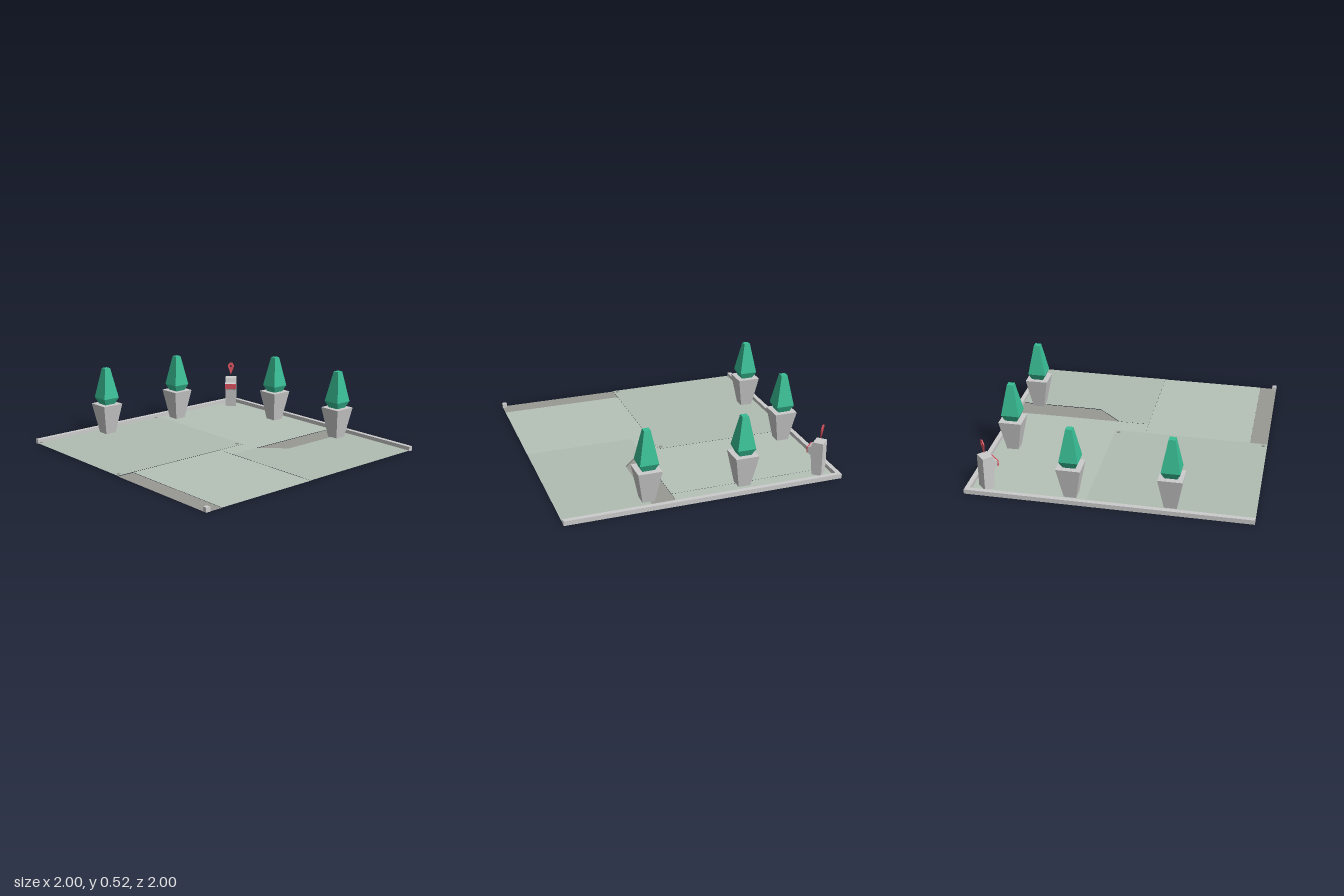
import * as THREE from 'three';

const mat = (color, double = false) => new THREE.MeshStandardMaterial({
  color, flatShading: true, side: double ? THREE.DoubleSide : THREE.FrontSide,
});
const grey = mat(0xcccccc);
const leaf = mat(0x38bd94);
const red = mat(0xd8505c);
const lawn = mat(0xb0bcb1, true);
const plaza = mat(0xb6c1b8, true);
const road = mat(0x999a94, true);

function add(parent, name, geometry, material, x = 0, y = 0, z = 0) {
  const mesh = new THREE.Mesh(geometry, material);
  mesh.name = name;
  mesh.position.set(x, y, z);
  parent.add(mesh);
  return mesh;
}

// Flat ground panel from [x, z] corners
function panel(parent, name, corners, y, material) {
  const shape = new THREE.Shape(corners.map(([x, z]) => new THREE.Vector2(x, -z)));
  add(parent, name, new THREE.ShapeGeometry(shape).rotateX(-Math.PI / 2), material, 0, y);
}
const rect = (x0, x1, z0, z1) => [[x0, z0], [x0, z1], [x1, z1], [x1, z0]];

// Square frustum standing on y = 0, given half widths
function frustum(bottom, top, height) {
  return new THREE.CylinderGeometry(top * Math.SQRT2, bottom * Math.SQRT2, height, 4)
    .rotateY(Math.PI / 4).translate(0, height / 2, 0);
}

function plantedTree(x, z) {
  const tree = new THREE.Group();
  tree.name = 'plantedTree';
  add(tree, 'planter', frustum(0.043, 0.085, 0.237), grey);
  add(tree, 'lowerFoliage', frustum(0.044, 0.067, 0.05), leaf, 0, 0.237);
  add(tree, 'upperFoliage', frustum(0.067, 0.023, 0.233), leaf, 0, 0.287);
  tree.position.set(x, 0, z);
  return tree;
}

// Information stand: side profile extruded across its width, with a map pin on top
function infoStand() {
  const stand = new THREE.Group();
  stand.name = 'infoStand';
  const profile = [[-0.055, 0], [0.015, 0], [0.03, 0.15], [0.054, 0.165],
    [0.054, 0.205], [0.03, 0.215], [0.02, 0.25], [-0.055, 0.25]];
  const side = new THREE.Shape(profile.map(([d, y]) => new THREE.Vector2(d, y)));
  const body = new THREE.ExtrudeGeometry(side, { depth: 0.09, bevelEnabled: false })
    .translate(0, 0, -0.045).rotateY(-Math.PI / 2);
  add(stand, 'standBody', body, grey);
  add(stand, 'displayPanel', new THREE.BoxGeometry(0.094, 0.042, 0.008), red, 0, 0.185, 0.058);

  const outline = [[0, 0], [0.024, 0.065], [0.024, 0.083], [0.012, 0.103],
    [-0.012, 0.103], [-0.024, 0.083], [-0.024, 0.065]];
  const pinShape = new THREE.Shape(outline.map(([x, y]) => new THREE.Vector2(x, y)));
  const hole = new THREE.Path();
  hole.absarc(0, 0.073, 0.008, 0, Math.PI * 2, true);
  pinShape.holes.push(hole);
  const pin = new THREE.ExtrudeGeometry(pinShape, { depth: 0.008, bevelEnabled: false, curveSegments: 4 });
  const marker = add(stand, 'mapPin', pin, red, 0, 0.272, -0.024);
  marker.rotation.x = -0.12;
  stand.position.set(-0.868, 0, -0.86);
  stand.rotation.y = Math.PI / 4;
  return stand;
}

export function createModel() {
  const model = new THREE.Group();
  model.name = 'gardenPlaza';

  // Ground panels, set at slightly different levels
  panel(model, 'backStrip', rect(-0.97, 0.205, -0.97, -0.83), 0.003, plaza);
  panel(model, 'backPlaza', rect(-0.97, 0.205, -0.83, -0.155), 0.004, plaza);
  panel(model, 'leftLawn', rect(-0.97, 0.065, -0.155, 1), 0.005, lawn);
  panel(model, 'cornerLanding', rect(0.065, 0.205, -0.155, 0.075), 0.004, plaza);
  panel(model, 'frontPlaza', rect(0.065, 1, 0.075, 0.87), 0.003, plaza);
  panel(model, 'frontRoad', rect(0.065, 1, 0.87, 1), 0.001, road);
  panel(model, 'backRoad', [[0.205, -0.97], [0.205, -0.155], [0.375, -0.34], [0.375, -0.97]], 0.001, road);
  panel(model, 'rightLawn', [[0.375, -0.97], [0.375, -0.34], [0.205, -0.155],
    [0.205, 0.075], [1, 0.075], [1, -0.97]], 0.005, lawn);

  // Low edge walls and the corner post
  add(model, 'leftWall', new THREE.BoxGeometry(0.033, 0.033, 2), grey, -0.9835, 0.0165, 0);
  add(model, 'backWall', new THREE.BoxGeometry(1.967, 0.033, 0.033), grey, 0.0165, 0.0165, -0.9835);
  add(model, 'cornerPost', new THREE.BoxGeometry(0.033, 0.033, 0.033), grey, 0.9835, 0.0165, 0.9835);

  // Small ground studs at the lawn corners
  for (const x of [-0.97, 0.035])
    for (const z of [-0.125, 0.972])
      add(model, 'groundStud', new THREE.CylinderGeometry(0.013, 0.013, 0.01, 8), road, x, 0.005, z);

  for (const [x, z] of [[-0.31, -0.845], [0.385, -0.84], [-0.87, -0.27], [-0.875, 0.425]])
    model.add(plantedTree(x, z));
  model.add(infoStand());
  return model;
}
